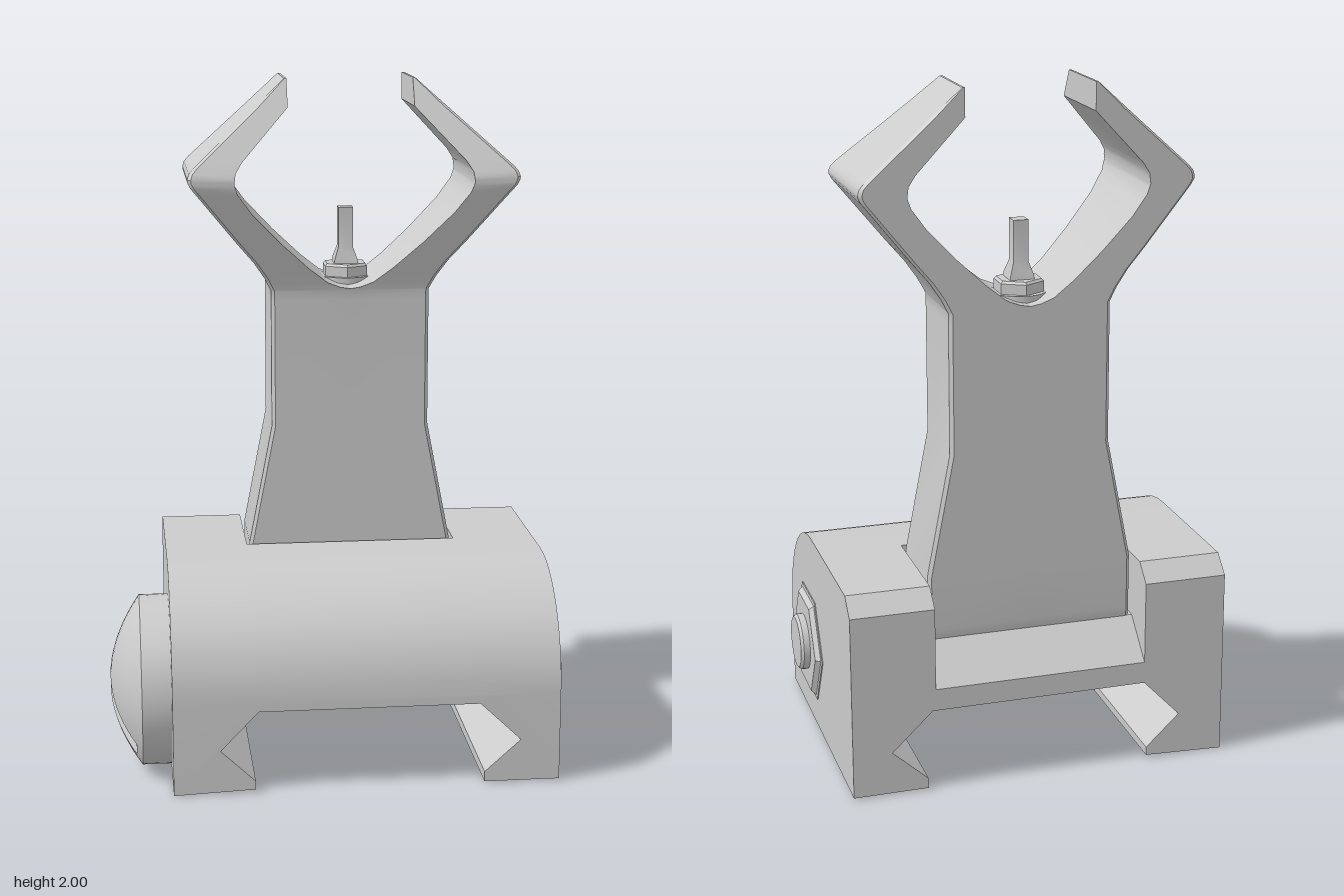
import * as THREE from 'three';
import { toCreasedNormals } from 'three/addons/utils/BufferGeometryUtils.js';

const V = (x, y, z) => new THREE.Vector3(x, y, z);
const material = new THREE.MeshStandardMaterial({ color: 0xcccccc });

// Skin closed cross-sections that all share one point count; flat(p) gives the 2D plane of the caps
function loft(sections, flat) {
  let tris = [];
  const n = sections[0].length;
  for (let k = 0; k + 1 < sections.length; k++) {
    const a = sections[k], b = sections[k + 1];
    for (let i = 0; i < n; i++) {
      const j = (i + 1) % n;
      tris.push([a[i], a[j], b[j]], [a[i], b[j], b[i]]);
    }
  }
  const cap = (s, first) => {
    const contour = s.map(flat);
    const keep = THREE.ShapeUtils.isClockWise(contour) === first;
    for (const [a, b, c] of THREE.ShapeUtils.triangulateShape(contour, [])) {
      tris.push(keep ? [s[a], s[b], s[c]] : [s[a], s[c], s[b]]);
    }
  };
  cap(sections[0], true);
  cap(sections[sections.length - 1], false);
  // drop collapsed triangles, then turn the skin outward
  tris = tris.filter(([a, b, c]) => V().subVectors(b, a).cross(V().subVectors(c, a)).length() > 1e-9);
  const volume = tris.reduce((s, [a, b, c]) => s + a.dot(V().crossVectors(b, c)), 0);
  if (volume < 0) tris = tris.map(([a, b, c]) => [a, c, b]);
  return toCreasedNormals(new THREE.BufferGeometry().setFromPoints(tris.flat()), 0.5);
}

// Piecewise linear lookup in [key, value] pairs sorted by key
function lerpTable(table, t) {
  if (t <= table[0][0]) return table[0][1];
  for (let i = 1; i < table.length; i++) {
    const [t0, v0] = table[i - 1], [t1, v1] = table[i];
    if (t <= t1) return v0 + (v1 - v0) * (t - t0) / (t1 - t0);
  }
  return table[table.length - 1][1];
}

const CX = 0.065;              // centre line of the post and slot
const BOLT_Y = 0.26, BOLT_Z = 0.145;

// Clamp body: dovetail section swept along z, with a rear slot for the post
function baseGeometry() {
  const under = [[-0.495, 0.005], [-0.26, 0.015], [-0.26, 0.04], [-0.36, 0.135], [-0.25, 0.25],
    [0.39, 0.25], [0.51, 0.135], [0.405, 0.04], [0.405, 0.01], [0.625, 0.01]];
  const section = (z, h, floor) => [...under, [0.625, h], [0.38, h], [0.38, floor],
    [-0.25, floor], [-0.25, h], [-0.495, h]].map(([x, y]) => V(x, y, z));
  const sections = [];
  for (let i = 12; i >= 0; i--) {
    const a = (i / 12) * Math.PI / 2;
    const z = 0.09 + 0.335 * Math.sin(a), h = 0.275 + 0.335 * Math.cos(a);
    sections.push(section(z, h, h));
  }
  // slot floor slopes down behind the post
  sections.push(section(-0.04, 0.61, 0.61), section(-0.04, 0.61, 0.42), section(-0.31, 0.61, 0.42),
    section(-0.37, 0.61, 0.365), section(-0.425, 0.56, 0.315));
  return loft(sections, p => new THREE.Vector2(p.x, p.y));
}

// Half of the sight post with its ear, stacked in y; side is 1 or -1
function postHalf(side) {
  const outer = [[0.61, 0.305], [0.97, 0.235], [1.38, 0.235], [1.42, 0.255], [1.47, 0.288], [1.53, 0.338],
    [1.68, 0.457], [1.7, 0.473], [1.715, 0.481], [1.725, 0.482], [1.74, 0.477], [1.755, 0.464], [2, 0.192]];
  const inner = [[1.385, 0], [1.39, 0.03], [1.405, 0.068], [1.45, 0.125], [1.53, 0.21], [1.62, 0.295],
    [1.68, 0.338], [1.71, 0.348], [1.74, 0.344], [1.77, 0.325], [1.92, 0.185]];
  const front = [[1.35, -0.05], [1.38, -0.049], [1.4, -0.044], [1.45, -0.025], [1.55, 0.015], [1.66, 0.057],
    [1.7, 0.073], [1.725, 0.073], [1.76, 0.055], [2, -0.08]];
  const section = (y, zf, zb) => {
    const uo = lerpTable(outer, y), ui = lerpTable(inner, y);
    const c = Math.min(0.01, (uo - ui) / 3, (zf - zb) / 3);   // small edge bevel
    return [[ui, zf], [uo - c, zf], [uo, zf - c], [uo, zb + c], [uo - c, zb], [ui, zb]]
      .map(([u, z]) => V(CX + side * u, y, z));
  };
  const sections = [];
  // rounded hinge foot inside the slot
  for (let i = 0; i < 10; i++) {
    const a = (i / 10) * Math.PI / 2, c = 0.1325 * Math.sin(a);
    sections.push(section(0.45 - 0.1325 * Math.cos(a), -0.1825 + c, -0.1825 - c));
  }
  const ys = [0.45, ...[outer, inner, front].flat().map(p => p[0])];
  for (const y of [...new Set(ys)].sort((a, b) => a - b)) {
    sections.push(section(y, lerpTable(front, y), -0.315));
  }
  return loft(sections, p => new THREE.Vector2(p.x, p.z));
}

// Domed thumb screw with a straight coin slot, built in slices across the slot
function knobGeometry() {
  const R = 0.25, W = 0.034, N = 28, STEPS = 14, sections = [];
  const slice = (v, slotted) => {
    const half = Math.sqrt(Math.max(R * R - v * v, 1e-8)), pts = [];
    for (let i = 0; i <= N; i++) {
      const w = -half * Math.cos(Math.PI * i / N);
      const h = 0.58 + 0.09 * (1 - (w * w + v * v) / (R * R));
      pts.push(V(-(slotted ? Math.min(h, 0.597) : h), v, w));
    }
    pts.push(V(-0.49, v, half), V(-0.49, v, -half));
    sections.push(pts);
  };
  // slice offsets from the rim in to the slot wall
  const rimAngle = Math.PI / 2, slotAngle = Math.asin(W / R);
  const vs = Array.from({ length: STEPS + 1 }, (_, i) =>
    R * Math.sin(rimAngle + (slotAngle - rimAngle) * i / STEPS));
  vs.forEach(v => slice(-v, false));
  slice(-W, true);
  slice(W, true);
  vs.reverse().forEach(v => slice(v, false));
  return loft(sections, p => new THREE.Vector2(p.x, p.z));
}

// Turned or prismatic part from [radius, height] pairs
function turned(profile, sides) {
  const pts = profile.map(([r, y]) => new THREE.Vector2(r, y));
  return toCreasedNormals(new THREE.LatheGeometry(pts, sides), 0.5);
}

export function createModel() {
  const model = new THREE.Group();
  const add = (name, geo, x = 0, y = 0, z = 0) => {
    const mesh = new THREE.Mesh(geo, material);
    mesh.name = name;
    mesh.position.set(x, y, z);
    model.add(mesh);
    return mesh;
  };

  add('clampBase', baseGeometry());
  add('postLeftHalf', postHalf(1));
  add('postRightHalf', postHalf(-1));

  // Thumb screw, its slot tilted from upper back to lower front
  add('thumbScrew', knobGeometry(), 0, BOLT_Y, BOLT_Z).rotation.x = Math.PI / 4;

  // Cross bolt and the hex nut on the other side
  const bolt = turned([[0, -0.49], [0.085, -0.49], [0.085, 0.662], [0.077, 0.67], [0, 0.67]], 32);
  add('crossBolt', bolt, 0, BOLT_Y, BOLT_Z).rotation.z = -Math.PI / 2;
  const nut = turned([[0, 0.6], [0.182, 0.6], [0.182, 0.628], [0.168, 0.629], [0.154, 0.643], [0, 0.643]], 6);
  add('hexNut', nut, 0, BOLT_Y, BOLT_Z).rotation.z = -Math.PI / 2;

  // Aiming pin: round seat, hex collar, square tapered pin
  add('pinSeat', turned([[0, 1.36], [0.08, 1.36], [0.08, 1.405], [0, 1.405]], 32), CX, 0, -0.2);
  add('pinCollar', turned([[0, 1.38], [0.073, 1.38], [0.073, 1.435], [0.066, 1.442], [0, 1.442]], 6), CX, 0, -0.2);
  const pin = turned([[0, 1.43], [0.053, 1.43], [0.048, 1.455], [0.031, 1.49], [0.031, 1.61], [0, 1.61]], 4);
  add('aimingPin', pin, CX, 0, -0.2).rotation.y = Math.PI / 4;

  return model;
}
